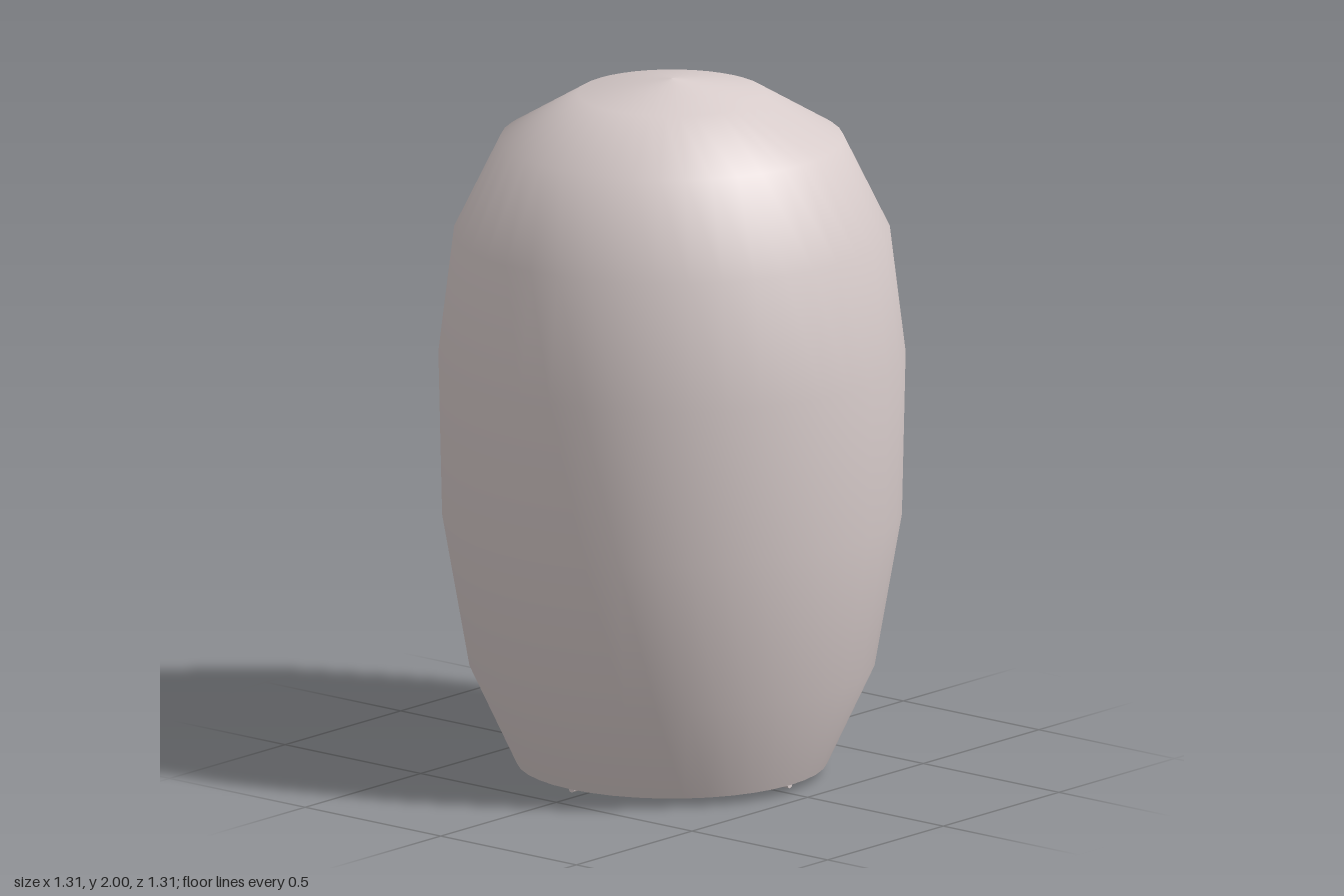
import * as THREE from 'three';

export function createModel() {
  const model = new THREE.Group();
  const shellColour = new THREE.MeshStandardMaterial({ color: 0xd8cccb, side: THREE.DoubleSide });

  const add = (name, geometry, x = 0, y = 0, z = 0) => {
    const mesh = new THREE.Mesh(geometry, shellColour);
    mesh.name = name;
    mesh.position.set(x, y, z);
    model.add(mesh);
    return mesh;
  };

  // Domed shell, open underneath
  const profile = [
    [0.437, 0.025], [0.57, 0.31], [0.647, 0.75], [0.657, 1.2],
    [0.613, 1.56], [0.482, 1.828], [0.265, 1.957], [0, 2],
  ].map(([r, y]) => new THREE.Vector2(r, y));
  add('shell', new THREE.LatheGeometry(profile, 40));

  // Crossed bars over the opening
  const bar = new THREE.CylinderGeometry(0.01, 0.01, 0.87, 8);
  add('crossBar', bar, 0, 0.025, 0).rotation.z = Math.PI / 2;
  add('crossBar', bar, 0, 0.025, 0).rotation.x = Math.PI / 2;

  // Egg-shaped beads: one in the middle and a ring of eight
  const bead = new THREE.SphereGeometry(1, 12, 8).scale(0.022, 0.04, 0.022);
  add('centreBead', bead, 0, 0.042, 0);
  for (let i = 0; i < 8; i++) {
    const a = (i * Math.PI) / 4;
    add('ringBead', bead, 0.33 * Math.cos(a), 0.042, 0.33 * Math.sin(a));
  }

  // Rest the beads on the ground
  model.children.forEach((m) => { if (m.name.endsWith('Bead')) m.position.y = 0.04; });
  return model;
}
